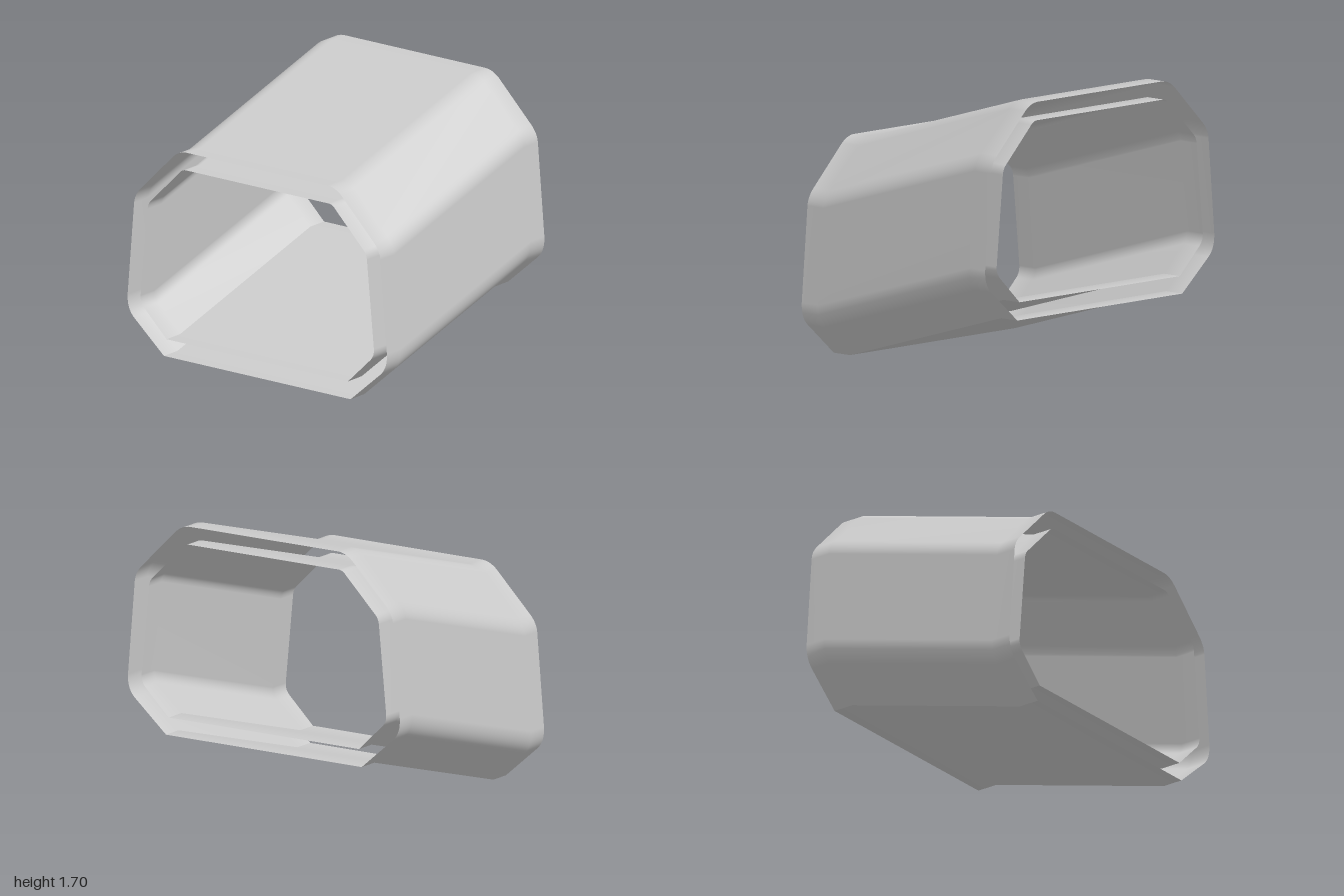
import * as THREE from 'three';

// Sweep path: flat collars at both ends of a sloping run, as [x, rise]
const STATIONS = [[-0.775, 0], [-0.64, 0], [0.64, 0.37], [0.775, 0.37]];

// Half section from the sharp floor corner up to the roof, as [z, y];
// each bend is rounded between a start and an end point
const OUTER = {
  floor: [0.72, 0],
  bends: [
    [[0.95, 0.2], [1.005, 0.25], [1.0, 0.34]],
    [[0.95, 0.93], [0.945, 0.985], [0.895, 1.035]],
    [[0.65, 1.28], [0.6, 1.325], [0.54, 1.325]],
  ],
};
const INNER = {
  floor: [0.7, 0.11],
  bends: [
    [[0.87, 0.275], [0.902, 0.305], [0.9, 0.35]],
    [[0.846, 0.91], [0.842, 0.945], [0.82, 0.967]],
    [[0.605, 1.182], [0.58, 1.212], [0.55, 1.212]],
  ],
};

// Arched section from the front floor corner over the roof to the back one
function archProfile({ floor, bends }) {
  const half = [new THREE.Vector2(...floor)];
  for (const bend of bends) {
    const curve = new THREE.QuadraticBezierCurve(...bend.map((p) => new THREE.Vector2(...p)));
    half.push(...curve.getPoints(8));
  }
  const mirrored = half.map((p) => new THREE.Vector2(-p.x, p.y)).reverse();
  return [...half, ...mirrored];
}

// Sweep a [z, y] profile along the stations as a smooth open sheet
function sweep(profile) {
  const positions = [];
  const index = [];
  const n = profile.length;
  for (const [x, rise] of STATIONS) {
    for (const p of profile) positions.push(x, p.y + rise, p.x);
  }
  for (let i = 0; i < STATIONS.length - 1; i++) {
    for (let j = 0; j < n - 1; j++) {
      const a = i * n + j;
      const b = a + n;
      index.push(a, b, b + 1, a, b + 1, a + 1);
    }
  }
  const geometry = new THREE.BufferGeometry();
  geometry.setAttribute('position', new THREE.Float32BufferAttribute(positions, 3));
  geometry.setIndex(index);
  geometry.computeVertexNormals();
  return geometry;
}

// One open-ended tube: smooth arch plus a floor meeting it at sharp edges
function makeShell(name, section, material) {
  const shell = new THREE.Group();
  shell.name = name;
  const [z, y] = section.floor;
  const arch = new THREE.Mesh(sweep(archProfile(section)), material);
  arch.name = name + 'Arch';
  const floor = new THREE.Mesh(
    sweep([new THREE.Vector2(-z, y), new THREE.Vector2(z, y)]), material);
  floor.name = name + 'Floor';
  shell.add(arch, floor);
  return shell;
}

export function createModel() {
  const material = new THREE.MeshStandardMaterial({ color: 0xcccccc, side: THREE.DoubleSide });
  const model = new THREE.Group();
  model.name = 'slopedCorridor';
  // Two nested shells with an open gap between them
  model.add(makeShell('outerShell', OUTER, material));
  model.add(makeShell('innerShell', INNER, material));
  return model;
}
